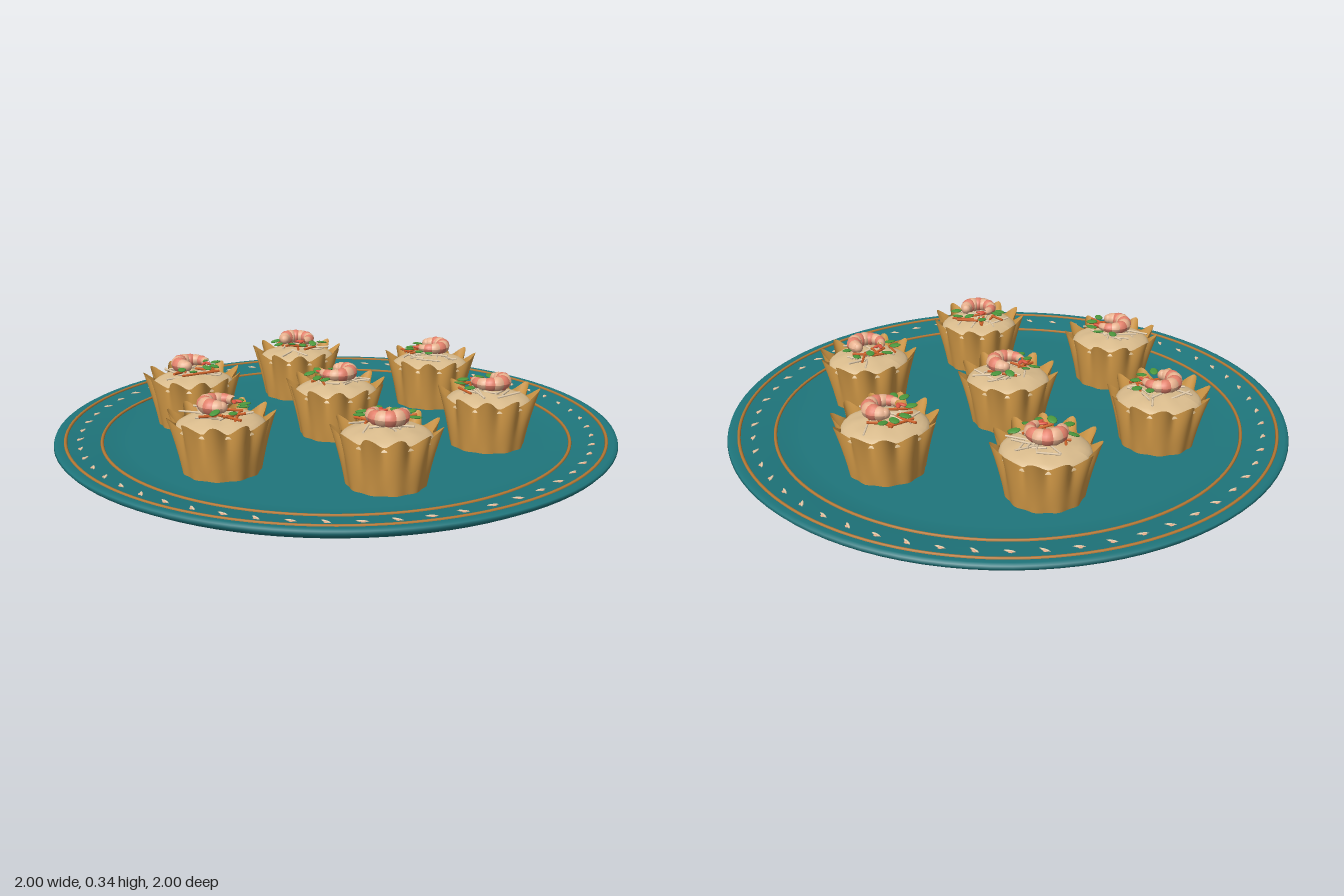
import * as THREE from 'three';
import { ParametricGeometry } from 'three/addons/geometries/ParametricGeometry.js';

const paint = (name, color, double) => {
  const m = new THREE.MeshStandardMaterial({ color });
  m.name = name;
  if (double) m.side = THREE.DoubleSide;
  return m;
};
const M = {
  plate: paint('teal glaze', 0x1f767c),
  trim: paint('gold trim', 0xb87a35),
  pastry: paint('baked pastry', 0xd69c48, true),
  filling: paint('cream filling', 0xd9bb8c),
  shred: paint('pale shreds', 0xe6cfae),
  carrot: paint('carrot orange', 0xd2642a),
  leaf: paint('herb green', 0x4a963c),
  shrimpLight: paint('shrimp light', 0xf0b894),
  shrimpPink: paint('shrimp pink', 0xe2806a),
  tail: paint('tail red', 0xdc5640),
};

function add(parent, name, geometry, material, x = 0, y = 0, z = 0) {
  const mesh = new THREE.Mesh(geometry, material);
  mesh.name = name;
  mesh.position.set(x, y, z);
  parent.add(mesh);
  return mesh;
}

// Small repeatable random numbers in 0..1
function seeded(seed) {
  let s = seed * 7919 + 17;
  return () => (s = (s * 16807) % 2147483647) / 2147483647;
}

function makePlate() {
  const plate = new THREE.Group();
  plate.name = 'plate';
  const profile = [
    [0, 0], [0.655, 0], [0.66, 0.004], [0.67, 0.02], [0.68, 0.028], [0.78, 0.038], [0.89, 0.058],
    [0.95, 0.08], [0.99, 0.102], [1, 0.113], [0.997, 0.121], [0.985, 0.125], [0.96, 0.121],
    [0.9, 0.11], [0.84, 0.101], [0.8, 0.092], [0.74, 0.087], [0, 0.085],
  ].map(([r, y]) => new THREE.Vector2(r, y));
  add(plate, 'dish', new THREE.LatheGeometry(profile, 96), M.plate);

  // Two trim rings and the small strokes between them
  for (const [r, y] of [[0.96, 0.121], [0.837, 0.101]]) {
    const ring = new THREE.TorusGeometry(r, 0.006, 6, 120).rotateX(Math.PI / 2);
    add(plate, 'trimRing', ring, M.trim, 0, y, 0);
  }
  const stroke = new THREE.SphereGeometry(1, 6, 4).scale(0.021, 0.003, 0.005);
  const dot = new THREE.SphereGeometry(1, 6, 4).scale(0.009, 0.003, 0.006);
  const count = 56;
  for (let i = 0; i < count; i++) {
    const a = (i / count) * Math.PI * 2;
    const mark = new THREE.Group();
    mark.name = 'rimMark';
    mark.position.set(Math.cos(a) * 0.91, 0.114, Math.sin(a) * 0.91);
    mark.rotation.y = -a + (i % 2 ? 0.9 : 1.3);
    add(mark, 'stroke', stroke, M.shred);
    add(mark, 'dot', dot, M.shrimpLight, 0.003, 0, 0.005);
    plate.add(mark);
  }
  return plate;
}

// Fluted shell that opens into eleven pointed petals
const BASE = 0.086;
const shellGeometry = new ParametricGeometry((u, v, p) => {
  const a = u * Math.PI * 2;
  const wave = Math.cos(a * 11);
  const r = 0.128 + 0.035 * v + wave * (0.003 + 0.015 * v * v);
  const y = BASE + v * (0.181 + 0.017 * wave);
  p.set(Math.cos(a) * r, y, Math.sin(a) * r);
}, 132, 10);

// Lumpy low dome
function fillingGeometry(seed) {
  const g = new THREE.SphereGeometry(1, 32, 8, 0, Math.PI * 2, 0, Math.PI / 2);
  const p = g.attributes.position;
  for (let i = 0; i < p.count; i++) {
    const x = p.getX(i), y = p.getY(i), z = p.getZ(i);
    const lump = 0.004 * Math.sin(x * 9 + seed) * Math.cos(z * 8 - seed);
    p.setXYZ(i, x * 0.149, y * (0.042 + lump), z * 0.149);
  }
  g.computeVertexNormals();
  return g;
}

// One tapered, slightly bulging band of the curled shrimp
const CURL = 0.05, SPAN = 4.3, BANDS = 9;
const thickness = t => 0.029 * Math.sqrt(Math.min(1, 0.45 + t * 2.5)) * (1 - 0.55 * t * t);
function bandGeometry(i) {
  const step = SPAN / BANDS;
  const g = new THREE.TorusGeometry(CURL, 1, 12, 5, step);
  g.rotateZ(i * step);
  const p = g.attributes.position;
  const ring = 6;
  for (let k = 0; k < p.count; k++) {
    const part = (k % ring) / 5;
    const a = (i + part) * step;
    const side = (Math.floor(k / ring) / 12) * Math.PI * 2;
    const r = thickness((i + part) / BANDS) * (0.94 + 0.09 * Math.sin(part * Math.PI));
    const d = CURL + Math.cos(side) * r;
    p.setXYZ(k, Math.cos(a) * d, Math.sin(a) * d, Math.sin(side) * r);
  }
  g.rotateX(Math.PI / 2);
  g.computeVertexNormals();
  return g;
}
const bandGeometries = Array.from({ length: BANDS }, (_, i) => bandGeometry(i));

function makeShrimp(facing) {
  const shrimp = new THREE.Group();
  shrimp.name = 'shrimp';
  shrimp.position.y = 0.313;
  shrimp.rotation.y = SPAN / 2 - facing;
  bandGeometries.forEach((g, i) => add(shrimp, 'shrimpBand', g, i % 2 ? M.shrimpPink : M.shrimpLight));
  add(shrimp, 'shrimpFront', new THREE.SphereGeometry(thickness(0) * 0.95, 12, 8), M.shrimpLight, CURL, 0, 0);
  // Two tail fins fan out from the thin end
  for (const side of [-1, 1]) {
    const fin = new THREE.SphereGeometry(1, 10, 6).scale(0.008, 0.005, 0.02).translate(0, 0, 0.016);
    const mesh = add(shrimp, 'tailFin', fin, M.tail, Math.cos(SPAN) * CURL, 0, Math.sin(SPAN) * CURL);
    mesh.rotation.y = -SPAN + side * 0.45;
  }
  return shrimp;
}

function makeTart(index, x, z, facing) {
  const rnd = seeded(index + 3);
  const tart = new THREE.Group();
  tart.name = 'tart';
  tart.position.set(x, 0, z);
  const shell = add(tart, 'pastryShell', shellGeometry, M.pastry);
  shell.rotation.y = index * 0.35;
  add(tart, 'filling', fillingGeometry(index), M.filling, 0, 0.236, 0);

  // Sticks strewn over the filling
  const strew = (name, material, count, radius, length, y, centre, spread) => {
    for (let i = 0; i < count; i++) {
      const a = centre + (rnd() - 0.5) * spread;
      const d = 0.035 + rnd() * 0.055;
      const g = new THREE.CylinderGeometry(radius, radius, length * (0.7 + rnd() * 0.6), 6).rotateZ(Math.PI / 2);
      const stick = add(tart, name, g, material, Math.cos(a) * d, y - d * 0.15 + rnd() * 0.012, Math.sin(a) * d);
      stick.rotation.set(0, rnd() * Math.PI, (rnd() - 0.5) * 0.25);
    }
  };
  strew('paleShred', M.shred, 14, 0.0035, 0.085, 0.284, 0, Math.PI * 2);
  strew('carrotStick', M.carrot, 7, 0.0045, 0.075, 0.296, facing + Math.PI, 3.4);

  // Herb leaves around the outside of the curl
  for (let i = 0; i < 6; i++) {
    const a = facing + 1.1 + i * 0.62 + rnd() * 0.3;
    const d = 0.078 + rnd() * 0.026;
    const g = new THREE.SphereGeometry(1, 12, 6).scale(0.022, 0.004, 0.015);
    const leaf = add(tart, 'herbLeaf', g, M.leaf, Math.cos(a) * d, 0.3 + rnd() * 0.01, Math.sin(a) * d);
    leaf.rotation.set((rnd() - 0.5) * 0.4, -a + (rnd() - 0.5) * 1.4, (rnd() - 0.5) * 0.4);
  }
  tart.add(makeShrimp(facing));
  return tart;
}

export function createModel() {
  const model = new THREE.Group();
  model.name = 'plateOfTarts';
  model.add(makePlate());

  // One tart in the middle, six in a ring; each shrimp curls its own way
  model.add(makeTart(0, 0, 0, 0.35));
  const facings = [0.8, 1.57, 3.14, 3.6, -1.57, 0];
  facings.forEach((facing, i) => {
    const a = -0.138 + (i * Math.PI) / 3;
    model.add(makeTart(i + 1, Math.cos(a) * 0.548, Math.sin(a) * 0.548, facing));
  });
  return model;
}
